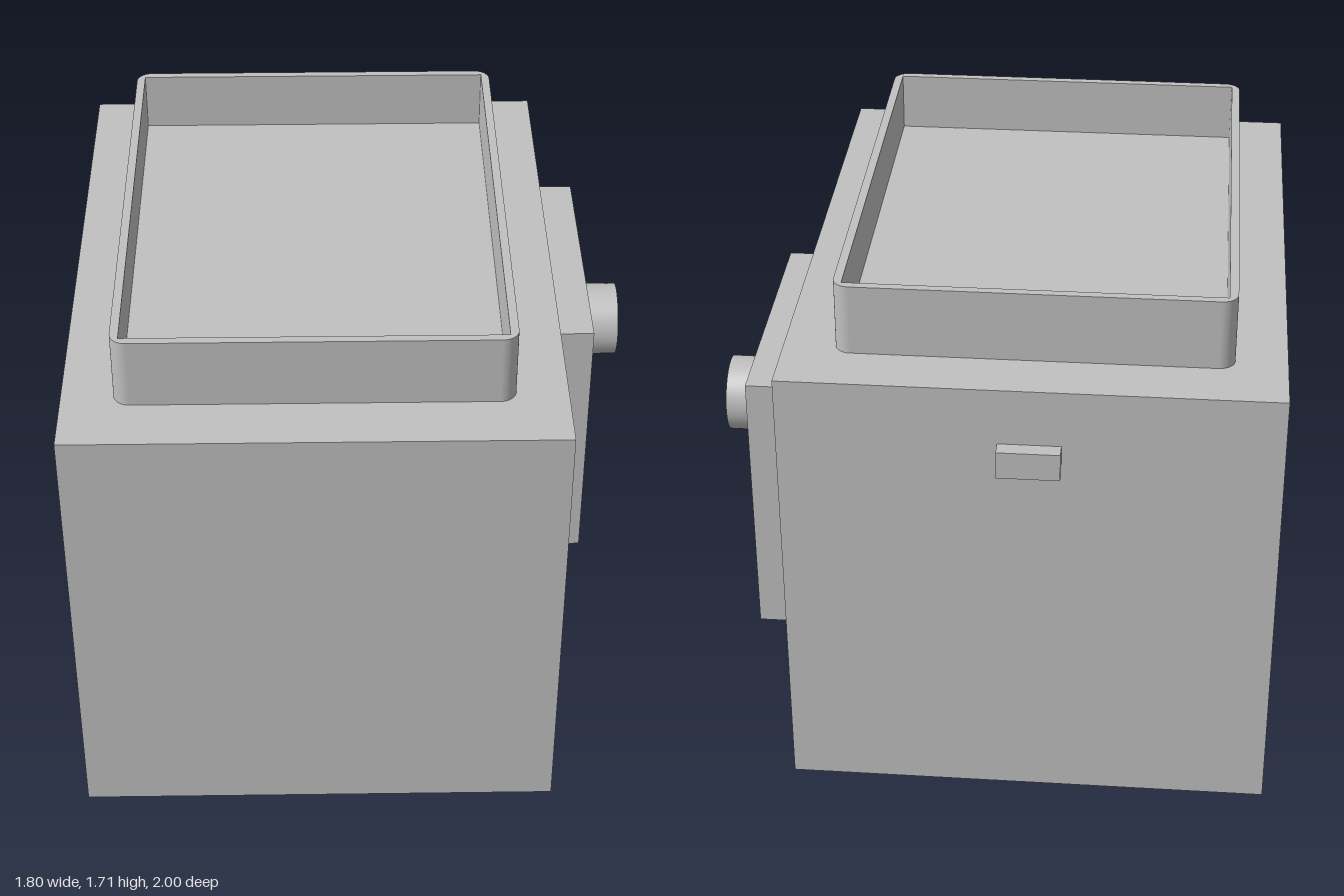
import * as THREE from 'three';

export function createModel() {
  const model = new THREE.Group();
  const grey = new THREE.MeshStandardMaterial({ color: 0xc0c0c0 });
  grey.name = 'light grey';

  function add(name, geometry) {
    const mesh = new THREE.Mesh(geometry, grey);
    mesh.name = name;
    model.add(mesh);
    return mesh;
  }

  // Box given by its lower and upper limits on each axis
  function box(name, [x0, x1], [y0, y1], [z0, z1]) {
    const mesh = add(name, new THREE.BoxGeometry(x1 - x0, y1 - y0, z1 - z0));
    mesh.position.set((x0 + x1) / 2, (y0 + y1) / 2, (z0 + z1) / 2);
  }

  // Cylinder lying along x
  function disc(name, radius, x0, x1, y, z) {
    const mesh = add(name, new THREE.CylinderGeometry(radius, radius, x1 - x0, 48));
    mesh.rotation.z = -Math.PI / 2;
    mesh.position.set((x0 + x1) / 2, y, z);
  }

  // Housing and rear tab
  box('body', [-0.9, 0.627], [0, 1.485], [-0.95, 1]);
  box('rearTab', [-0.235, -0.042], [1.21, 1.3], [-1, -0.95]);

  // Control panel on the side
  box('panelHousing', [0.627, 0.767], [0.4, 1.297], [-0.675, 0.212]);
  box('panelFace', [0.767, 0.777], [0.475, 1.222], [-0.565, 0.105]);
  for (const y of [0.515, 0.695]) {
    box('button', [0.777, 0.805], [y, y + 0.118], [-0.306, -0.194]);
  }
  disc('knobShaft', 0.05, 0.777, 0.787, 1.02, -0.26);
  disc('knob', 0.122, 0.787, 0.897, 1.02, -0.26);

  // Tray rim: rounded outside, square inside (shape y becomes -z)
  const [x0, x1, y0, y1] = [-0.741, 0.468, -0.812, 0.768];
  const r = 0.05, wall = 0.027;
  const rim = new THREE.Shape();
  rim.absarc(x1 - r, y0 + r, r, -Math.PI / 2, 0);
  rim.absarc(x1 - r, y1 - r, r, 0, Math.PI / 2);
  rim.absarc(x0 + r, y1 - r, r, Math.PI / 2, Math.PI);
  rim.absarc(x0 + r, y0 + r, r, Math.PI, Math.PI * 1.5);
  rim.closePath();
  const [a, b, c, d] = [x0 + wall, x1 - wall, y0 + wall, y1 - wall];
  rim.holes.push(new THREE.Path([
    new THREE.Vector2(a, c), new THREE.Vector2(a, d),
    new THREE.Vector2(b, d), new THREE.Vector2(b, c),
  ]));
  const rimGeometry = new THREE.ExtrudeGeometry(rim, {
    depth: 0.227, bevelEnabled: false, curveSegments: 8,
  });
  rimGeometry.rotateX(-Math.PI / 2);
  add('trayRim', rimGeometry).position.y = 1.485;

  // Raised tray floor inside the rim
  box('trayFloor', [a, b], [1.485, 1.52], [-d, -c]);

  return model;
}
